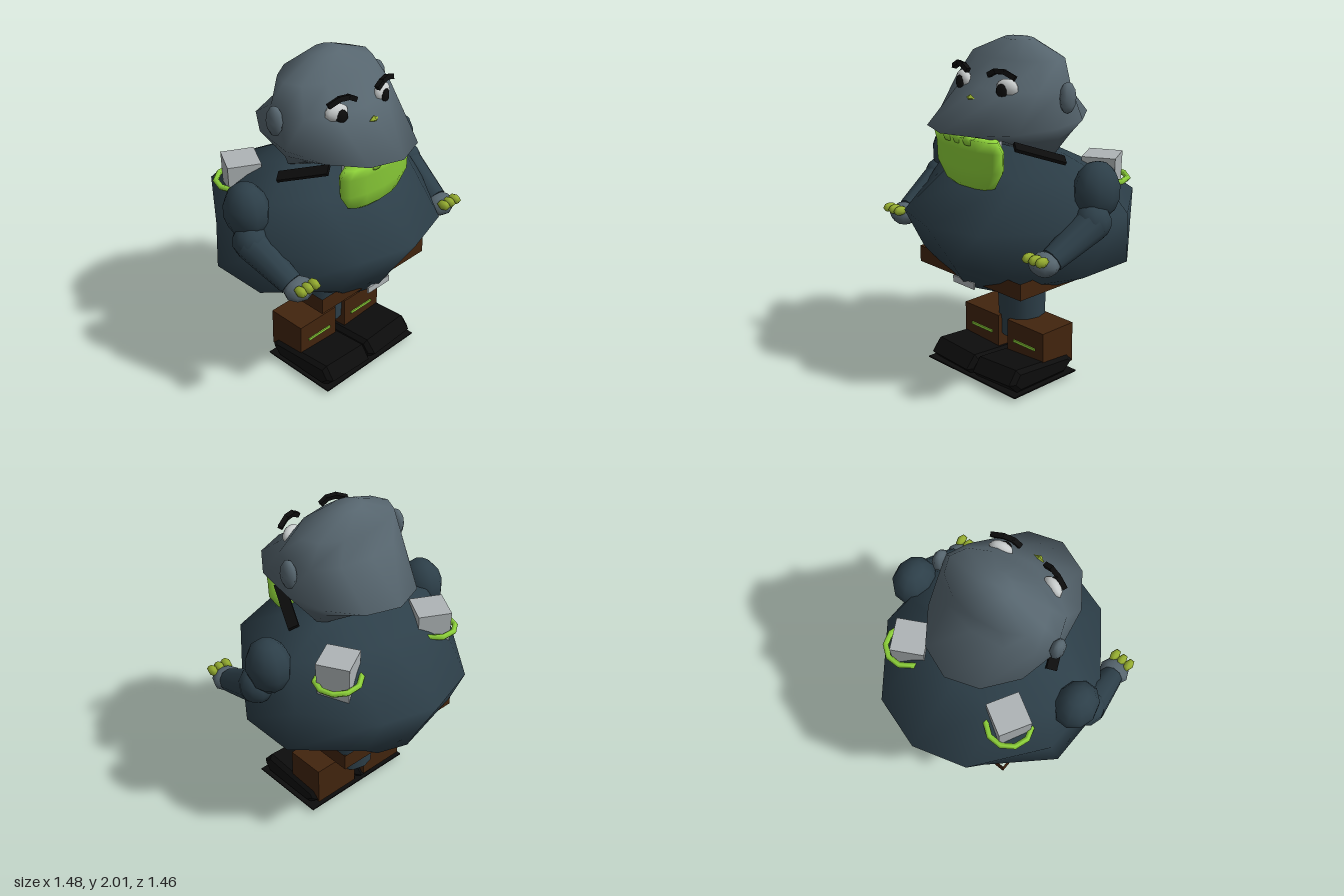
import * as THREE from 'three';

const mat = (name, color) => {
  const m = new THREE.MeshStandardMaterial({ color });
  m.name = name;
  return m;
};

// Smooth skin over rings [y, halfWidth, zBack, zFront]; outline is a unit plan shape of [x, z]
function loft(rings, outline) {
  const n = outline.length, pos = [], idx = [];
  for (const [y, rx, z0, z1] of rings)
    for (const [x, z] of outline) pos.push(x * rx, y, (z0 + z1) / 2 + (z * (z1 - z0)) / 2);
  const last = rings.length - 1;
  for (const k of [0, last]) pos.push(0, rings[k][0], (rings[k][2] + rings[k][3]) / 2);
  const low = rings.length * n, top = low + 1;
  for (let i = 0; i < n; i++) {
    const j = (i + 1) % n;
    for (let r = 0; r < last; r++) {
      const a = r * n + i, b = r * n + j;
      idx.push(a, b, b + n, a, b + n, a + n);
    }
    idx.push(low, j, i, top, last * n + i, last * n + j);
  }
  const g = new THREE.BufferGeometry();
  g.setAttribute('position', new THREE.Float32BufferAttribute(pos, 3));
  g.setIndex(idx);
  g.computeVertexNormals();
  return g;
}

const ring = (n) => Array.from({ length: n }, (_, i) => {
  const a = (i / n) * Math.PI * 2;
  return [Math.sin(a), Math.cos(a)];
});

export function createModel() {
  const model = new THREE.Group();
  model.name = 'stoutFigure';

  const cloth = mat('slate cloth', 0x2d3f49);
  const skin = mat('grey skin', 0x56656e);
  const lime = mat('lime green', 0x8fd43a);
  const olive = mat('olive green', 0x95ad30);
  const brown = mat('brown leather', 0x42240e);
  const black = mat('black', 0x0c0c0c);
  const metal = mat('pale grey', 0xaeb4b6);
  const white = mat('eye white', 0xc8cccc);
  const belt = mat('belt brown', 0x42240e);
  belt.side = THREE.DoubleSide;

  const add = (name, geo, material, p = [0, 0, 0], r = [0, 0, 0]) => {
    const m = new THREE.Mesh(geo, material);
    m.name = name;
    m.position.set(...p);
    m.rotation.set(...r);
    model.add(m);
    return m;
  };
  const blob = (name, material, p, s, r, seg = 10, rows = 7) =>
    add(name, new THREE.SphereGeometry(1, seg, rows), material, p, r).scale.set(...s);
  const box = (name, material, p, s, r) => add(name, new THREE.BoxGeometry(...s), material, p, r);
  // Places a geometry modelled along y so that it runs from a to b
  const between = (name, make, material, a, b) => {
    const A = new THREE.Vector3(...a), B = new THREE.Vector3(...b), d = B.clone().sub(A);
    const m = add(name, make(d.length()), material);
    m.position.copy(A).add(B).multiplyScalar(0.5);
    m.quaternion.setFromUnitVectors(new THREE.Vector3(0, 1, 0), d.normalize());
  };

  // Barrel body
  const plan = [[0, 1], [0.5, 0.865], [0.97, 0.32], [0.97, -0.32], [0.5, -0.865],
    [0, -1], [-0.5, -0.865], [-0.97, -0.32], [-0.97, 0.32], [-0.5, 0.865]];
  add('body', loft([
    [0.61, 0.36, -0.5, 0.45], [0.77, 0.68, -0.58, 0.55], [1.04, 0.64, -0.73, 0.73],
    [1.27, 0.55, -0.34, 0.34], [1.37, 0.28, -0.15, 0.15],
  ], plan), cloth);

  // Head with a brim-like jaw
  add('head', loft([
    [1.37, 0.26, -0.1, 0.08], [1.47, 0.33, -0.25, 0.33], [1.55, 0.385, -0.415, 0.62],
    [1.76, 0.39, -0.18, 0.33], [1.91, 0.32, -0.16, 0.22], [2.0, 0.1, -0.05, 0.1],
  ], ring(12)), skin);

  // Beard, its scalloped upper edge and the pale block behind it
  add('beard', loft([
    [1.19, 0.1, 0.37, 0.42], [1.23, 0.2, 0.34, 0.46], [1.33, 0.265, 0.32, 0.49],
    [1.44, 0.27, 0.32, 0.49], [1.51, 0.26, 0.36, 0.51],
  ], ring(12)), lime);
  for (const x of [-0.08, 0, 0.08]) blob('beardScallop', lime, [x, 1.5, 0.48], [0.045, 0.035, 0.035], undefined, 6, 4);
  box('chinBlock', metal, [0, 1.42, 0.325], [0.3, 0.11, 0.05]);
  add('nose', new THREE.OctahedronGeometry(1), olive, [0, 1.71, 0.395]).scale.set(0.035, 0.022, 0.022);

  // Single central leg and square belt
  add('leg', new THREE.CylinderGeometry(0.155, 0.14, 0.43, 12), cloth, [0, 0.41, 0]);
  add('belt', new THREE.CylinderGeometry(0.612, 0.612, 0.1, 4, 1, true).rotateY(Math.PI / 4).toNonIndexed(), belt, [0, 0.69, 0])
    .geometry.computeVertexNormals();
  box('buckle', metal, [0, 0.637, 0.465], [0.18, 0.04, 0.01]);
  box('basePlate', black, [0, 0.02, 0.175], [0.765, 0.008, 0.51]);

  // Sole profile, x runs forward
  const soleShape = new THREE.Shape([[-0.05, 0.07], [0, 0.03], [0.36, 0.03], [0.4, 0.07], [0.36, 0.12], [-0.03, 0.09]]
    .map(([x, y]) => new THREE.Vector2(x, y)));
  const sole = new THREE.ExtrudeGeometry(soleShape, {
    depth: 0.31, bevelEnabled: true, bevelThickness: 0.025, bevelSize: 0.025, bevelSegments: 1,
  }).translate(0, 0, -0.155).rotateY(-Math.PI / 2);

  for (const s of [1, -1]) {
    const side = s > 0 ? 'left' : 'right';

    // Face
    blob(side + 'Ear', skin, [s * 0.405, 1.72, 0.045], [0.04, 0.09, 0.056], undefined, 8, 6);
    blob(side + 'Eye', white, [s * 0.178, 1.775, 0.285], [0.07, 0.052, 0.04], [0, s * 0.3, 0]);
    blob(side + 'Pupil', black, [s * 0.172, 1.762, 0.32], [0.037, 0.042, 0.02], [0, s * 0.3, 0], 7, 5);
    const brow = [[0.09, 1.845, 0.335], [0.13, 1.868, 0.33], [0.185, 1.87, 0.315], [0.245, 1.842, 0.295]];
    for (let i = 0; i < 3; i++) {
      const [a, b] = [brow[i], brow[i + 1]].map(([x, y, z]) => [s * x, y, z]);
      between(side + 'Brow', (l) => new THREE.BoxGeometry(0.028, l + 0.012, 0.028), black, a, b);
    }
    between(side + 'Strap', (l) => new THREE.BoxGeometry(0.065, l, 0.02), black, [s * 0.26, 1.465, 0.31], [s * 0.385, 1.36, 0.04]);

    // Arm
    blob(side + 'Shoulder', cloth, [s * 0.6, 1.225, 0.01], [0.125, 0.17, 0.145]);
    blob(side + 'Elbow', cloth, [s * 0.64, 1.07, 0.08], [0.1, 0.11, 0.11]);
    between(side + 'Forearm', (l) => new THREE.CylinderGeometry(0.07, 0.1, l, 10), cloth, [s * 0.64, 1.06, 0.09], [s * 0.61, 0.915, 0.37]);
    blob(side + 'Hand', skin, [s * 0.6, 0.9, 0.415], [0.092, 0.068, 0.085], undefined, 8, 6);
    for (const x of [0.55, 0.6, 0.65])
      blob(side + 'Finger', olive, [s * x, 0.943, 0.485], [0.029, 0.03, 0.045], undefined, 6, 4);

    // Back canister with its binding
    const can = new THREE.CylinderGeometry(0.14, 0.13, 0.24, 4).toNonIndexed();
    can.computeVertexNormals();
    add(side + 'Canister', can, metal, [s * 0.36, 1.21, -0.3], [0, s * -0.28, 0]);
    add(side + 'CanisterBand', new THREE.TorusGeometry(0.13, 0.018, 5, 10).rotateX(Math.PI / 2), lime,
      [s * 0.375, 1.195, -0.315], [0, 0, s * -0.05]);

    // Boot
    box(side + 'Boot', brown, [s * 0.19, 0.195, 0.035], [0.3, 0.25, 0.25]);
    box(side + 'BootStripe', lime, [s * 0.185, 0.2, 0.163], [0.18, 0.016, 0.009]);
    add(side + 'Sole', sole, black, [s * 0.187, s > 0 ? 0.005 : -0.003, 0], [0, 0, s > 0 ? 0.06 : -0.05]);
  }
  return model;
}
